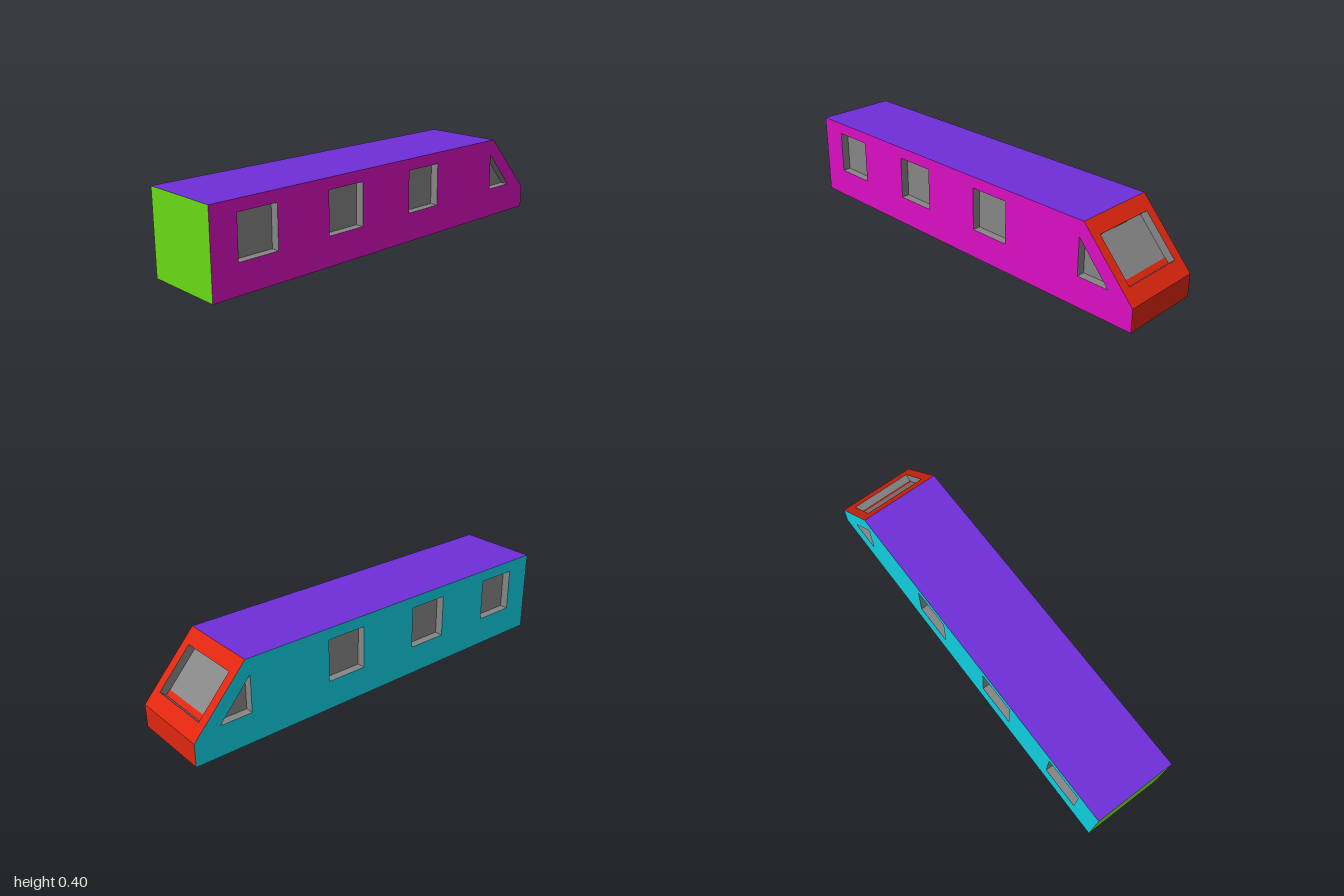
import * as THREE from 'three';

const mat = (name, color) => new THREE.MeshStandardMaterial({ name, color });
const V = (x, y, z) => new THREE.Vector3(x, y, z);
const toShape = (pts) => new THREE.Shape(pts.map(([x, y]) => new THREE.Vector2(x, y)));
const rect = (x0, y0, x1, y1) => [[x0, y0], [x1, y0], [x1, y1], [x0, y1]];
const mirrored = (pts) => pts.map(([x, y]) => [-x, y]).reverse();

const DEPTH = 0.04; // how far the windows are set in

// Side walls of a recess, facing into the opening (corners counter-clockwise)
function recessWalls(pts) {
  const pos = [];
  pts.forEach(([ax, ay], i) => {
    const [bx, by] = pts[(i + 1) % pts.length];
    pos.push(ax, ay, 0, bx, by, 0, bx, by, -DEPTH);
    pos.push(ax, ay, 0, bx, by, -DEPTH, ax, ay, -DEPTH);
  });
  const g = new THREE.BufferGeometry();
  g.setAttribute('position', new THREE.Float32BufferAttribute(pos, 3));
  g.computeVertexNormals();
  return g;
}

// Flat hull panel with recessed windows, placed by its origin and two edge directions
function panel(name, material, glass, origin, u, v, outline, windows = []) {
  const group = new THREE.Group();
  group.name = name;
  const shape = toShape(outline);
  shape.holes = windows.map(toShape);
  const skin = new THREE.Mesh(new THREE.ShapeGeometry(shape), material);
  skin.name = name + 'Skin';
  group.add(skin);
  windows.forEach((w) => {
    const pane = new THREE.Mesh(new THREE.ShapeGeometry(toShape(w)), glass);
    pane.name = 'windowPane';
    pane.position.z = -DEPTH;
    const frame = new THREE.Mesh(recessWalls(w), glass);
    frame.name = 'windowFrame';
    group.add(pane, frame);
  });
  const basis = new THREE.Matrix4().makeBasis(u, v, V(0, 0, 0).crossVectors(u, v));
  group.quaternion.setFromRotationMatrix(basis);
  group.position.copy(origin);
  return group;
}

export function createModel() {
  const model = new THREE.Group();
  model.name = 'railCar';
  const grey = mat('grey', 0x868686);
  const magenta = mat('magenta', 0xdb0ec3);
  const teal = mat('teal', 0x10d0e1);
  const purple = mat('purple', 0x702edb);
  const green = mat('green', 0x6bdb14);
  const red = mat('red', 0xe0260f);

  const H = 0.4, W = 0.2, roofEnd = 0.74, noseTop = 0.11;
  const X = V(1, 0, 0), Y = V(0, 1, 0), Z = V(0, 0, 1);
  const neg = (a) => a.clone().negate();

  // Long sides: three square windows and a triangular cab window
  const profile = [[-1, 0], [1, 0], [1, noseTop], [roofEnd, H], [-1, H]];
  const windows = [-0.87, -0.39, 0.11].map((x) => rect(x, 0.14, x + 0.2, 0.345));
  windows.push([[0.72, 0.145], [0.875, 0.145], [0.72, 0.325]]);
  model.add(panel('leftFrontSide', magenta, grey, V(0, 0, W), X, Y, profile, windows));
  model.add(panel('backSide', teal, grey, V(0, 0, -W), neg(X), Y, mirrored(profile), windows.map(mirrored)));

  // Roof, floor, rear wall and lower nose
  model.add(panel('roof', purple, grey, V(0, H, 0), X, neg(Z), rect(-1, -W, roofEnd, W)));
  model.add(panel('underside', grey, grey, V(0, 0, 0), X, Z, rect(-1, -W, 1, W)));
  model.add(panel('rearWall', green, grey, V(-1, 0, 0), Z, Y, rect(-W, 0, W, H)));
  model.add(panel('nose', red, grey, V(1, 0, 0), neg(Z), Y, rect(-W, 0, W, noseTop)));

  // Sloping cab front with a recessed windscreen
  const slope = V(roofEnd - 1, H - noseTop, 0);
  const length = slope.length();
  const screen = rect(-0.155, 0.08, 0.155, 0.315);
  const cab = panel('cabFront', red, grey, V(1, noseTop, 0), neg(Z), slope.normalize(),
    rect(-W, 0, W, length), [screen]);

  // Red sill along the foot of the windscreen
  const sill = new THREE.Mesh(new THREE.ShapeGeometry(toShape(rect(-0.155, 0.08, 0.155, 0.108))), red);
  sill.name = 'windscreenSill';
  sill.position.z = -DEPTH + 0.002;
  cab.add(sill);
  model.add(cab);

  return model;
}
